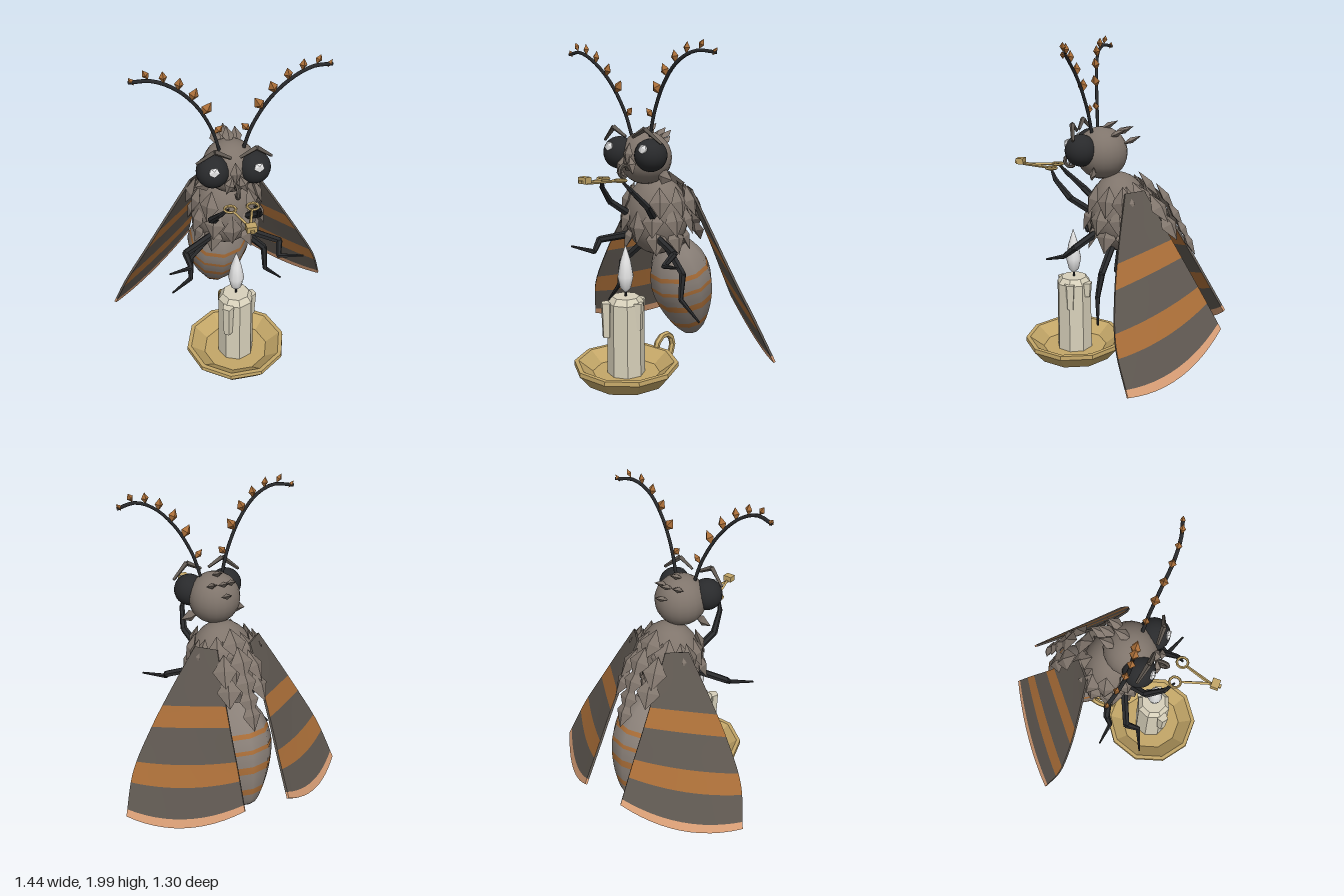
import * as THREE from 'three';
import { ParametricGeometry } from 'three/addons/geometries/ParametricGeometry.js';

const V = (x, y, z) => new THREE.Vector3(x, y, z);

export function createModel() {
  const root = new THREE.Group();
  root.name = 'mothWithCandle';
  const mat = (name, color, side = THREE.FrontSide) => {
    const m = new THREE.MeshStandardMaterial({ color, side });
    m.name = name;
    return m;
  };
  const fuzz = mat('greyFuzz', 0x80756c);
  const belly = mat('abdomenGrey', 0x8a8078, THREE.DoubleSide);
  const wingDark = mat('wingDark', 0x5f5851, THREE.DoubleSide);
  const orange = mat('burntOrange', 0xaa6e38, THREE.DoubleSide);
  const rimCopper = mat('wingRimCopper', 0xdba077, THREE.DoubleSide);
  const black = mat('black', 0x292a2c);
  const brass = mat('brass', 0xc4a768, THREE.DoubleSide);
  const wax = mat('wax', 0xd8d1bb);
  const white = mat('white', 0xf2f2f2);

  const add = (name, geo, material, x = 0, y = 0, z = 0, parent = root) => {
    const m = new THREE.Mesh(geo, material);
    m.name = name;
    m.position.set(x, y, z);
    parent.add(m);
    return m;
  };
  const flat = (g) => {
    const f = g.index ? g.toNonIndexed() : g;
    f.computeVertexNormals();
    return f;
  };
  // Tapered rod between two points
  const rod = (name, a, b, r0, r1, material, sides = 6) => {
    const d = b.clone().sub(a);
    const c = a.clone().add(b).multiplyScalar(0.5);
    const m = add(name, flat(new THREE.CylinderGeometry(r1, r0, d.length(), sides)), material, c.x, c.y, c.z);
    m.quaternion.setFromUnitVectors(V(0, 1, 0), d.normalize());
  };
  // Flattened diamond lying along dir, with its face turned to out
  const scaleGeo = new THREE.OctahedronGeometry(1, 0);
  const petal = (name, c, dir, out, len, wid, thick, material = fuzz) => {
    const y = dir.clone().normalize();
    const x = y.clone().cross(out).normalize();
    const z = x.clone().cross(y);
    const m = add(name, scaleGeo, material, c.x, c.y, c.z);
    m.quaternion.setFromRotationMatrix(new THREE.Matrix4().makeBasis(x, y, z));
    m.scale.set(wid / 2, len / 2, thick / 2);
  };

  // Candle holder
  const cz = 0.29;
  const profile = [[0, 0.03], [0.245, 0.03], [0.312, 0.11], [0.31, 0.135], [0.285, 0.135], [0.2, 0.07], [0, 0.07]];
  const dish = add('dish', flat(new THREE.LatheGeometry(profile.map((p) => new THREE.Vector2(...p)), 10)), brass, 0, 0, cz);
  dish.rotation.y = Math.PI / 2;
  add('dishHandle', flat(new THREE.TorusGeometry(0.085, 0.02, 6, 10)), brass, 0, 0.108, -0.078).rotation.y = Math.PI / 2;

  // Candle
  const candle = new THREE.Group();
  candle.name = 'candle';
  candle.position.z = cz;
  root.add(candle);
  const part = (name, r1, r0, y0, y1, m) =>
    add(name, flat(new THREE.CylinderGeometry(r1, r0, y1 - y0, 8)), m, 0, (y0 + y1) / 2, 0, candle);
  part('candleBody', 0.108, 0.112, 0.06, 0.505, wax);
  part('candleTop', 0.08, 0.108, 0.505, 0.54, wax);
  part('wick', 0.006, 0.007, 0.54, 0.62, black);
  for (const [x, y, z, h] of [[-0.07, 0.405, 0.09, 0.21], [0.09, 0.435, 0.0, 0.16], [0.03, 0.47, -0.09, 0.09]]) {
    add('waxDrip', flat(new THREE.CylinderGeometry(0.036, 0.028, h, 5)), wax, x, y, z, candle);
  }
  const flame = [[0, 0.56], [0.032, 0.59], [0.048, 0.66], [0.032, 0.75], [0, 0.85]];
  add('flame', new THREE.LatheGeometry(flame.map((p) => new THREE.Vector2(...p)), 10), white, 0, 0, 0, candle);

  // Head, thorax
  add('head', new THREE.SphereGeometry(0.155, 20, 14), fuzz, 0, 1.335, 0.105);
  add('thorax', new THREE.SphereGeometry(1, 20, 14), fuzz, 0, 0.98, 0).scale.set(0.2, 0.24, 0.18);

  // Abdomen: bands lathed along a tilted axis
  const abdomen = new THREE.Group();
  abdomen.name = 'abdomen';
  abdomen.position.set(0, 0.125, -0.38);
  abdomen.rotation.x = Math.atan2(0.21, 0.66);
  root.add(abdomen);
  const outline = new THREE.CatmullRomCurve3([[0.0, 0], [0.065, 0.03], [0.145, 0.17], [0.195, 0.34], [0.2, 0.45], [0.165, 0.58], [0.09, 0.69]].map((p) => V(p[0], p[1], 0)));
  const cuts = [0, 0.11, 0.27, 0.315, 0.425, 0.47, 0.58, 0.62, 0.72, 0.755, 1];
  for (let i = 0; i < cuts.length - 1; i++) {
    const pts = [0, 1, 2, 3].map((k) => {
      const p = outline.getPoint(cuts[i] + (cuts[i + 1] - cuts[i]) * k / 3);
      return new THREE.Vector2(Math.max(p.x, 0), p.y);
    });
    add(i % 2 ? 'abdomenBand' : 'abdomenStripe', new THREE.LatheGeometry(pts, 10), i % 2 ? belly : orange, 0, 0, 0, abdomen);
  }

  // Scales around the thorax
  for (const [y, r, n, gap] of [[1.08, 0.175, 8, 42], [0.97, 0.19, 9, 30], [0.86, 0.165, 8, 36]]) {
    for (let i = 0; i < n; i++) {
      const a = THREE.MathUtils.degToRad(gap + (360 - 2 * gap) * i / (n - 1));
      const out = V(Math.sin(a), 0.3, Math.cos(a));
      petal('thoraxScale', V(out.x * r * 1.08, y, out.z * r), V(out.x * 0.35, -1, out.z * 0.35), out, 0.19, 0.125, 0.055);
    }
  }
  petal('chestScale', V(0, 0.93, 0.185), V(0, -1, 0.03), V(0, 0, 1), 0.2, 0.12, 0.06);

  // Mane down the back
  [[1.16, -0.18], [1.09, -0.28], [0.99, -0.34], [0.9, -0.385], [0.82, -0.425]].forEach(([y, z], i) => {
    const dir = V(0, -0.7 - i * 0.12, -0.6);
    petal('maneScale', V(0, y, z), dir, V(0, 0.6, -0.7), 0.19, 0.15 - i * 0.01, 0.05);
    if (i < 3) for (const s of [-1, 1]) {
      petal('maneSideScale', V(s * 0.095, y - 0.05, z + 0.02), dir.clone().setX(s * 0.2), V(s * 0.4, 0.6, -0.7), 0.2, 0.14, 0.05);
    }
  });

  // Head tufts
  for (const [x, y, z] of [[0, 1.5, 0.06], [0, 1.47, -0.03], [0, 1.415, -0.075], [0.06, 1.46, 0.0], [-0.06, 1.46, 0.0]]) {
    petal('headTuft', V(x, y, z), V(x, 0.4, -0.8), V(0, 0.8, 0.35), 0.13, 0.07, 0.035);
  }
  petal('noseScale', V(0, 1.37, 0.26), V(0, -1, 0.2), V(0, 0, 1), 0.13, 0.07, 0.05);

  // Curled tongue
  add('tongue', flat(new THREE.TorusGeometry(0.034, 0.012, 6, 10, 5.4)), wingDark, 0, 1.275, 0.3).rotation.y = Math.PI / 2;

  for (const s of [-1, 1]) {
    // Eyes, brows, cheeks, shoulders
    add('eye', new THREE.SphereGeometry(0.094, 20, 14), black, s * 0.117, 1.365, 0.2);
    add('eyeGlint', new THREE.IcosahedronGeometry(0.033, 0), white, s * 0.125, 1.402, 0.278).scale.z = 0.6;
    const brow = [V(s * 0.21, 1.435, 0.22), V(s * 0.115, 1.515, 0.25), V(s * 0.025, 1.465, 0.25)];
    rod('browOuter', brow[0], brow[1], 0.009, 0.016, wingDark, 4);
    rod('browInner', brow[1], brow[2], 0.016, 0.01, wingDark, 4);
    petal('cheekScale', V(s * 0.15, 1.235, 0.12), V(s, -0.25, 0), V(0, 0.2, 1), 0.12, 0.09, 0.04);
    petal('muzzleScale', V(s * 0.04, 1.31, 0.28), V(s * 0.4, -1, 0.2), V(s * 0.3, 0, 1), 0.11, 0.06, 0.05);
    petal('shoulderScale', V(s * 0.2, 1.08, -0.07), V(s * 0.35, -1, -0.1), V(s, 0.3, 0), 0.2, 0.14, 0.06);

    // Antenna with leaflets
    const feeler = new THREE.CatmullRomCurve3([[0.065, 1.45, 0.145], [0.11, 1.6, 0.16], [0.2, 1.77, 0.185], [0.31, 1.885, 0.205], [0.42, 1.935, 0.2], [0.535, 1.925, 0.17]]
      .map((p) => V(s * p[0], p[1], p[2])));
    add('antenna', new THREE.TubeGeometry(feeler, 20, 0.01, 6), black);
    [0.19, 0.39, 0.54, 0.67, 0.78, 0.88, 0.98].forEach((t, i) => {
      const p = feeler.getPointAt(t), d = feeler.getTangentAt(t);
      const n = V(-s * d.y, s * d.x, 0).normalize();
      const len = i === 0 ? 0.07 : 0.102 - i * 0.009;
      petal('antennaLeaf', p.addScaledVector(n, i === 6 ? 0.004 : 0.032), n.clone().addScaledVector(d, 0.5), V(0, 0, 1), len, len * 0.66, len * 0.6, orange);
    });

    // Legs: chains of tapered rods
    const legs = {
      frontLeg: [[0.09, 0.99, 0.14], [0.14, 1.08, 0.26], [0.11, 1.18, 0.36], [0.07, 1.24, 0.4]],
      middleLeg: [[0.09, 0.87, 0.11], [0.285, 0.82, 0.2], [0.265, 0.76, 0.27], [0.4, 0.785, 0.33]],
      backLeg: [[0.1, 0.79, 0.02], [0.235, 0.66, 0.05], [0.24, 0.51, 0.075], [0.355, 0.385, 0.045]],
    };
    for (const [name, path] of Object.entries(legs)) {
      const pts = path.map((p) => V(s * p[0], p[1], p[2]));
      const radii = [0.024, 0.021, 0.015, 0.006];
      for (let i = 0; i < 3; i++) {
        rod(name, pts[i], pts[i + 1], radii[i], radii[i + 1], black);
        if (i) add(name + 'Joint', new THREE.IcosahedronGeometry(radii[i], 0), black, ...pts[i].toArray());
      }
    }

    // Wing: bands across a curved blade, with two skins and closed edges
    const curve = (pts) => new THREE.CatmullRomCurve3(pts.map((p) => V(s * p[0], p[1], p[2])));
    const outer = curve([[0.2, 1.14, -0.08], [0.355, 0.89, -0.08], [0.5, 0.645, -0.09], [0.632, 0.4, -0.125], [0.718, 0.15, -0.21]]);
    const inner = curve([[0.1, 1.14, -0.17], [0.115, 0.94, -0.29], [0.125, 0.74, -0.41], [0.13, 0.535, -0.53], [0.138, 0.335, -0.645]]);
    const normal = V(s * 0.62, 0.5, -0.6).normalize();
    const blade = (u, v, side, target) => {
      const bulge = 4 * u * (1 - u) * v ** 4;
      target.copy(outer.getPoint(v)).lerp(inner.getPoint(v), u)
        .add(V(s * 0.015 * bulge, -0.08 * bulge, -0.03 * bulge)).addScaledVector(normal, side * 0.007);
    };
    const bands = [[0, 0.35, wingDark], [0.35, 0.48, orange], [0.48, 0.69, wingDark], [0.69, 0.81, orange], [0.81, 0.96, wingDark], [0.96, 1, rimCopper]];
    for (const [v0, v1, m] of bands) {
      const at = (w) => v0 + (v1 - v0) * w;
      for (const side of [-1, 1]) {
        add('wing', new ParametricGeometry((u, w, t) => blade(u, at(w), side, t), 12, 5), m);
      }
      for (const u of [0, 1]) {
        add('wingEdge', new ParametricGeometry((a, w, t) => blade(u, at(w), 2 * a - 1, t), 1, 5), m === rimCopper ? m : wingDark);
      }
    }
    add('wingTipEdge', new ParametricGeometry((u, a, t) => blade(u, 1, 2 * a - 1, t), 12, 1), rimCopper);

    // Wick trimmer halves
    add('trimmerRing', flat(new THREE.TorusGeometry(0.032, 0.008, 5, 10)), brass, s * 0.063, 1.24, 0.4).rotation.x = Math.PI / 2;
    rod('trimmerBlade', V(s * 0.05, 1.24, 0.43), V(-s * 0.004, 1.245, 0.6), 0.008, 0.01, brass, 4);
  }
  add('trimmerBox', new THREE.BoxGeometry(0.055, 0.035, 0.045), brass, 0, 1.262, 0.615);
  add('trimmerTip', new THREE.BoxGeometry(0.02, 0.015, 0.015), brass, 0, 1.255, 0.642);

  return root;
}
